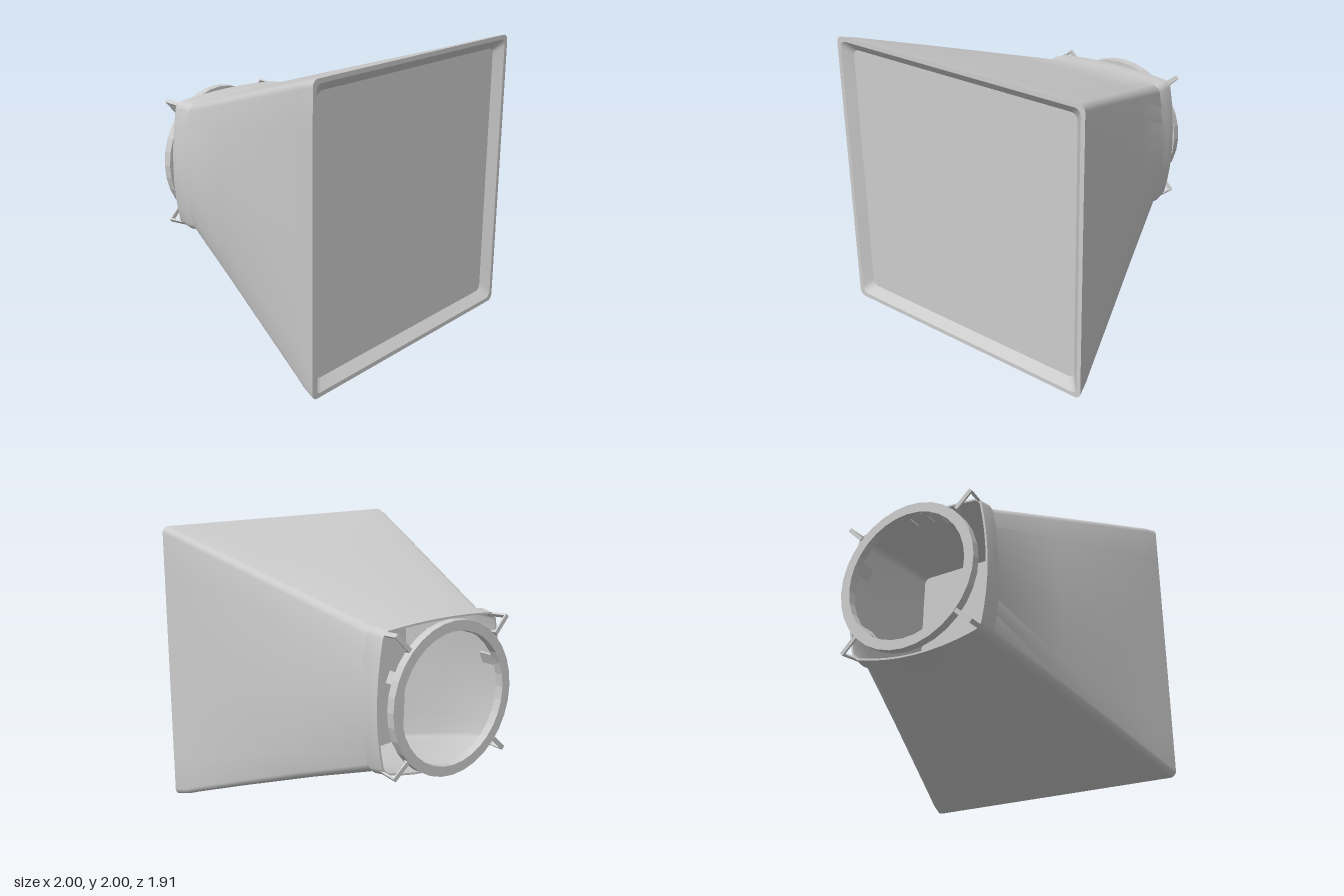
import * as THREE from 'three';
import { toCreasedNormals } from 'three/addons/utils/BufferGeometryUtils.js';

const CY = 1; // height of the central axis
const mat = new THREE.MeshStandardMaterial({ color: 0xcccccc, side: THREE.DoubleSide });

function add(parent, name, geo) {
  const m = new THREE.Mesh(geo, mat);
  m.name = name;
  parent.add(m);
  return m;
}

// Cross-section at depth z: a rounded square whose sides bow outward toward the rear
function outline(z, h, r, seg = 5, sideSeg = 8) {
  const pts = [];
  for (let q = 0; q < 4; q++) {
    const c = Math.round(Math.cos(q * Math.PI / 2)), s = Math.round(Math.sin(q * Math.PI / 2));
    const put = (x, y) => pts.push(new THREE.Vector2(x * c - y * s, x * s + y * c));
    for (let i = 0; i < sideSeg; i++) put(h, (h - r) * (2 * i / sideSeg - 1));
    for (let i = 0; i < seg; i++) {
      const a = (i / seg) * Math.PI / 2;
      put(h - r + r * Math.cos(a), h - r + r * Math.sin(a));
    }
  }
  const t = THREE.MathUtils.clamp((0.85 - z) / 1.68, 0, 1);
  return pts.map(({ x, y }) => {
    const low = y < 0;
    const bowX = 0.11 * t * (1 - (y / h) ** 2);
    const bowY = (low ? 0.17 : 0.05) * t * (1 - (x / h) ** 2);
    return new THREE.Vector2(x * (1 + bowX), y * (low ? 1 - 0.1 * t : 1) * (1 + bowY));
  });
}

// Skin through sections [z, half size, corner radius]
function loft(sections) {
  const pos = [], idx = [];
  let n = 0;
  for (const [z, h, r] of sections) {
    const ring = outline(z, h, r);
    n = ring.length;
    ring.forEach(p => pos.push(p.x, p.y, z));
  }
  for (let i = 0; i < sections.length - 1; i++) {
    for (let j = 0; j < n; j++) {
      const a = i * n + j, b = i * n + (j + 1) % n;
      idx.push(a, a + n, b, b, a + n, b + n);
    }
  }
  const g = new THREE.BufferGeometry();
  g.setAttribute('position', new THREE.Float32BufferAttribute(pos, 3));
  g.setIndex(idx);
  return toCreasedNormals(g, 0.5);
}

export function createModel() {
  const model = new THREE.Group();
  model.name = 'softbox';
  const axis = new THREE.Group();
  axis.name = 'softboxParts';
  axis.position.y = CY;
  model.add(axis);

  // Tapered fabric shell: outside, rear hem, inside, then the front lip
  add(axis, 'shell', loft([
    [0.955, 1.0, 0.045], [0.85, 0.973, 0.045], [0.78, 0.95, 0.045], [0.4, 0.832, 0.045],
    [-0.14, 0.661, 0.045], [-0.68, 0.49, 0.045], [-0.73, 0.497, 0.045], [-0.83, 0.486, 0.045],
    [-0.83, 0.474, 0.04], [-0.68, 0.478, 0.04], [-0.14, 0.649, 0.04], [0.4, 0.82, 0.04],
    [0.82, 0.945, 0.045], [0.9, 0.91, 0.045], [0.955, 0.97, 0.045], [0.955, 1.0, 0.045],
  ]));

  // Front diffuser and inner baffle
  const panel = (name, z, h) => {
    const s = new THREE.Shape(outline(z, h, 0.045));
    add(axis, name, new THREE.ShapeGeometry(s)).position.z = z;
  };
  panel('frontDiffuser', 0.9, 0.91);
  panel('innerBaffle', 0.48, 0.844);

  // Mounting ring
  const ringShape = new THREE.Shape().absarc(0, 0, 0.515, 0, Math.PI * 2, false);
  ringShape.holes.push(new THREE.Path().absarc(0, 0, 0.447, 0, Math.PI * 2, true));
  const ringGeo = new THREE.ExtrudeGeometry(ringShape, { depth: 0.06, bevelEnabled: false, curveSegments: 16 });
  add(axis, 'mountingRing', ringGeo).position.z = -0.957;

  // Flat tabs joining the ring to the shell
  for (const deg of [24, 82, 99, 114, 156, 321]) {
    const a = THREE.MathUtils.degToRad(deg);
    const tab = add(axis, 'ringTab', new THREE.BoxGeometry(0.014, 0.082, 0.14));
    tab.position.set(0.452 * Math.cos(a), 0.452 * Math.sin(a), -0.86);
    tab.rotation.z = a;
  }

  // Thin corner hooks, drawn as radius against distance to the rear
  const hookShape = new THREE.Shape([
    [0.655, 0.77], [0.667, 0.77], [0.685, 0.945], [0.53, 0.952], [0.525, 0.91],
    [0.535, 0.91], [0.55, 0.938], [0.668, 0.934],
  ].map(([x, y]) => new THREE.Vector2(x, y)));
  const hookGeo = new THREE.ExtrudeGeometry(hookShape, { depth: 0.03, bevelEnabled: false });
  hookGeo.translate(0, 0, -0.015);
  hookGeo.rotateX(-Math.PI / 2);
  for (const [deg, shift] of [[45, 0], [135, 0], [222, -0.025], [318, -0.025]]) {
    const a = THREE.MathUtils.degToRad(deg);
    const hook = add(axis, 'cornerHook', hookGeo);
    hook.rotation.z = a;
    hook.position.set(shift * Math.cos(a), shift * Math.sin(a), 0);
  }
  return model;
}
